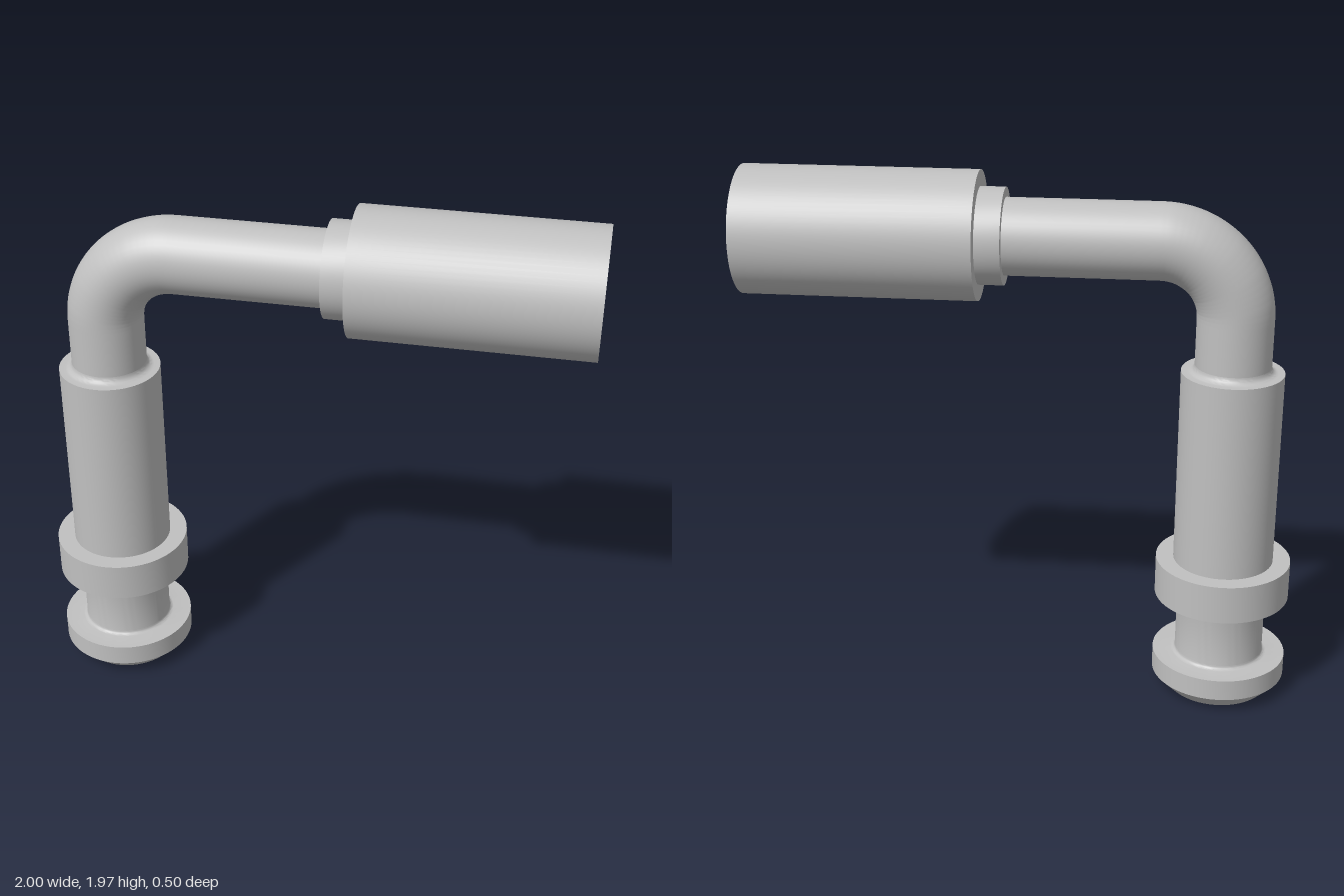
import * as THREE from 'three';
import { toCreasedNormals } from 'three/addons/utils/BufferGeometryUtils.js';

const STEM_X = -0.75, ARM_Y = 1.74, BEND = 0.27;
const PIPE_R = 0.137, BORE_R = 0.075;

// Quarter-round fillet points, from angle a to b (in quarter turns) about (cx, cy)
function fillet(cx, cy, r, a, b) {
  return Array.from({ length: 6 }, (_, i) => {
    const t = (a + (b - a) * i / 5) * Math.PI / 2;
    return [cx + r * Math.cos(t), cy + r * Math.sin(t)];
  });
}

// Turned part with crisp edges; profile is [radius, height]
function turned(profile) {
  const points = profile.map(([r, h]) => new THREE.Vector2(r, h));
  return toCreasedNormals(new THREE.LatheGeometry(points, 72), 0.45);
}

// Centre line: up the stem, round the elbow and along the arm
function centreLine(startY, endX) {
  const path = new THREE.CurvePath();
  const points = [new THREE.Vector3(STEM_X, startY, 0)];
  for (let i = 0; i <= 24; i++) {
    const t = Math.PI - (i / 24) * Math.PI / 2;
    points.push(new THREE.Vector3(STEM_X + BEND + BEND * Math.cos(t), ARM_Y - BEND + BEND * Math.sin(t), 0));
  }
  points.push(new THREE.Vector3(endX, ARM_Y, 0));
  for (let i = 1; i < points.length; i++) path.add(new THREE.LineCurve3(points[i - 1], points[i]));
  return path;
}

export function createModel() {
  const model = new THREE.Group();
  model.name = 'elbowHoseFitting';
  const steel = new THREE.MeshStandardMaterial({ color: 0xc0c0c0, side: THREE.DoubleSide });
  steel.name = 'steel grey';
  const add = (name, geometry) => {
    const mesh = new THREE.Mesh(geometry, steel);
    mesh.name = name;
    model.add(mesh);
    return mesh;
  };

  // Stem: chamfered foot, grooved neck, collar and long barrel
  add('stem', turned([
    [BORE_R, 0.08], [0.115, 0], [0.19, 0], [0.25, 0.06], [0.25, 0.14],
    ...fillet(0.18, 0.155, 0.015, 3, 2),
    ...fillet(0.18, 0.37, 0.015, 2, 1),
    [0.25, 0.385], [0.25, 0.53], [0.185, 0.53], [0.185, 1.27],
    ...fillet(0.162, 1.295, 0.025, 3, 2),
  ])).position.x = STEM_X;

  // Bent pipe and the bore running through it
  add('bentPipe', new THREE.TubeGeometry(centreLine(1.27, 0.07), 120, PIPE_R, 48));
  add('bore', new THREE.TubeGeometry(centreLine(0.08, 0.985), 160, BORE_R, 32));

  // Crimp sleeve with shoulder, open socket and inner nipple
  const sleeve = turned([
    [PIPE_R, 0.065], [0.172, 0.065], [0.172, 0.155], [0.23, 0.155], [0.23, 1],
    [0.205, 1], [0.175, 0.95], [0.175, 0.3], [0.112, 0.3], [0.112, 0.95],
    [0.09, 0.985], [BORE_R, 0.985],
  ]);
  sleeve.rotateZ(-Math.PI / 2);
  add('crimpSleeve', sleeve).position.y = ARM_Y;

  return model;
}
